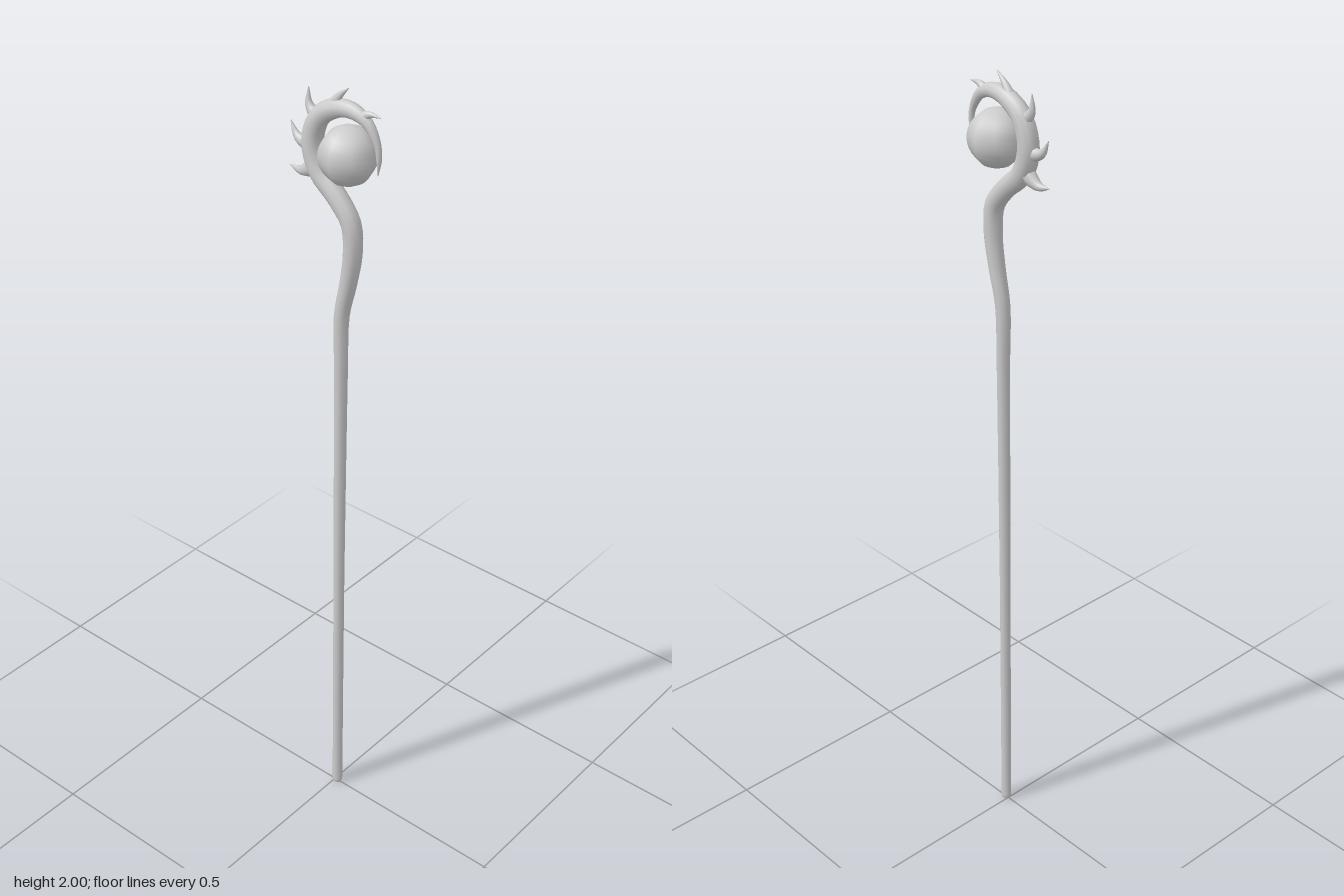
import * as THREE from 'three';

const material = new THREE.MeshStandardMaterial({ color: 0xcccccc });

// Sweeps a tapering round section along a path in the xy plane.
// points: [x, y, radius]; flat scales the section in z.
function taperedSweep(points, sides, steps, flat = 1) {
  const curve = new THREE.CatmullRomCurve3(points.map(([x, y]) => new THREE.Vector3(x, y, 0)));
  const spans = points.length - 1, rings = spans * steps;
  const pos = [], index = [];
  for (let i = 0; i <= rings; i++) {
    const t = i / rings, k = Math.min(Math.floor(t * spans), spans - 1);
    const p = curve.getPoint(t), d = curve.getTangent(t);
    const r = THREE.MathUtils.lerp(points[k][2], points[k + 1][2], t * spans - k);
    for (let j = 0; j < sides; j++) {
      const a = (j / sides) * Math.PI * 2, c = Math.cos(a) * r;
      pos.push(p.x + d.y * c, p.y - d.x * c, -Math.sin(a) * r * flat);
    }
  }
  for (let i = 0; i < rings; i++) {
    for (let j = 0; j < sides; j++) {
      const a = i * sides + j, b = i * sides + (j + 1) % sides;
      index.push(a, b, a + sides, b, b + sides, a + sides);
    }
  }
  // end caps with their own vertices so the rims stay sharp
  for (const [ring, start] of [[0, true], [rings, false]]) {
    const base = pos.length / 3;
    for (let j = 0; j < sides; j++) {
      const o = (ring * sides + j) * 3;
      pos.push(pos[o], pos[o + 1], pos[o + 2]);
    }
    for (let j = 1; j < sides - 1; j++) {
      if (start) index.push(base, base + j + 1, base + j);
      else index.push(base, base + j, base + j + 1);
    }
  }
  const g = new THREE.BufferGeometry();
  g.setAttribute('position', new THREE.Float32BufferAttribute(pos, 3));
  g.setIndex(index);
  g.computeVertexNormals();
  return g;
}

export function createModel() {
  const group = new THREE.Group();
  const add = (name, geometry) => {
    const mesh = new THREE.Mesh(geometry, material);
    mesh.name = name;
    group.add(mesh);
    return mesh;
  };

  // Straight shaft flowing into the bent neck and the hooked crook
  add('shaftAndCrook', taperedSweep([
    [0.008, 0, 0.011], [0.008, 0.012, 0.013], [0.012, 0.7, 0.0135], [0.017, 1.3, 0.016],
    [0.019, 1.45, 0.018], [0.038, 1.54, 0.02], [0.05, 1.62, 0.022], [0.044, 1.69, 0.023],
    [0.004, 1.742, 0.024], [-0.045, 1.788, 0.025], [-0.064, 1.85, 0.025],
    [-0.046, 1.911, 0.024], [-0.004, 1.944, 0.022], [0.045, 1.953, 0.018],
    [0.088, 1.936, 0.013], [0.115, 1.895, 0.008], [0.12, 1.86, 0.006], [0.117, 1.825, 0.001],
  ], 10, 4));

  // Curved thorns round the outside of the crook: root, bend, tip
  const thorns = [
    [[-0.055, 1.795], [-0.095, 1.774], [-0.13, 1.778]],
    [[-0.062, 1.84], [-0.105, 1.85], [-0.126, 1.884]],
    [[-0.046, 1.905], [-0.073, 1.935], [-0.074, 1.975]],
    [[-0.008, 1.945], [0.01, 1.975], [0.036, 2.0]],
    [[0.07, 1.943], [0.093, 1.957], [0.122, 1.957]],
  ];
  thorns.forEach(([root, bend, tip], i) => {
    const s = 1 - i * 0.09;
    add('thorn' + (i + 1), taperedSweep(
      [[...root, 0.023 * s], [...bend, 0.012 * s], [...tip, 0.001]], 8, 4, 0.85));
  });

  // Floating orb, eight sides around
  const orb = add('orb', new THREE.SphereGeometry(0.067, 8, 16));
  orb.position.set(0.036, 1.848, 0);
  return group;
}
